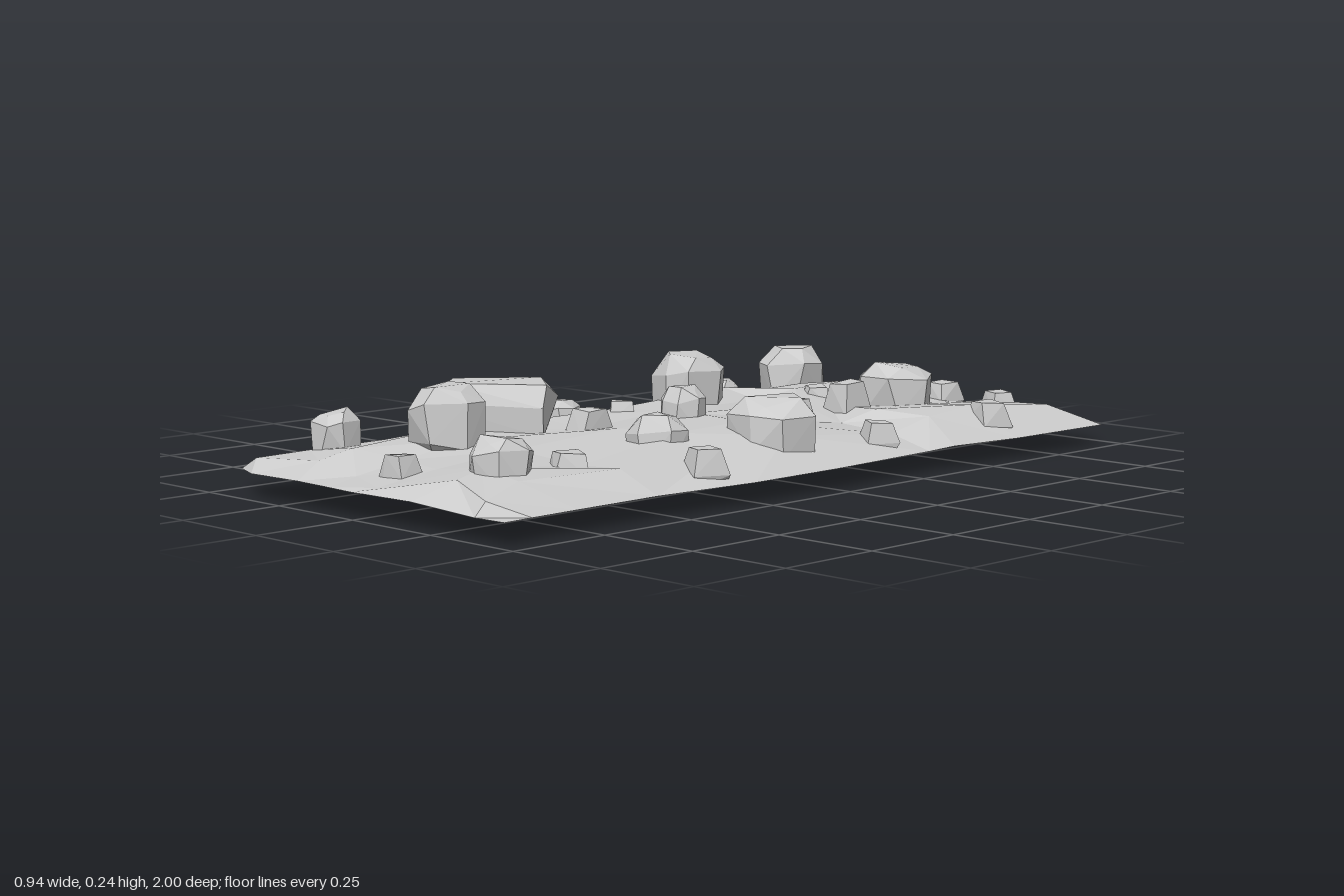
import * as THREE from 'three';
import { ConvexGeometry } from 'three/addons/geometries/ConvexGeometry.js';

const material = new THREE.MeshStandardMaterial({ color: 0xcccccc, flatShading: true });
const groundMaterial = new THREE.MeshStandardMaterial({ color: 0xcccccc, flatShading: true, side: THREE.DoubleSide });

function seeded(seed) {
  let s = seed * 7919 + 13;
  return () => (s = (s * 16807) % 2147483647) / 2147483647;
}

// Uneven sheet of earth: z, right edge x, then heights in hundredths across
function makeGround() {
  const xs = [-0.473, -0.4, -0.22, -0.1, 0.02, 0.2, 0.35];
  const backZ = [-0.96, -0.985, -1, -0.995, -0.99, -0.985, -0.98, -0.955];
  const frontZ = [0.93, 0.98, 0.99, 0.995, 1, 0.99, 0.985, 0.98];
  const rows = [
    [-1, 0.472, [5, 5.5, 6, 6, 6, 6, 6, 5]],
    [-0.88, 0.47, [5, 7, 9, 8.5, 7.5, 9, 10, 5]],
    [-0.65, 0.465, [5, 8.5, 12, 13, 9, 10.5, 12, 5]],
    [-0.42, 0.46, [5, 8, 12, 13.5, 11, 12, 11, 5.5]],
    [-0.34, 0.45, [5, 9, 13, 11, 12, 9, 8, 5]],
    [0, 0.468, [5, 8, 12, 12, 13, 13, 11, 5]],
    [0.28, 0.47, [5, 9, 12, 11, 12, 13, 9, 5]],
    [0.56, 0.445, [5, 8, 12, 11.5, 11, 9, 10, 5]],
    [0.8, 0.447, [5, 9, 11, 9, 9, 11, 10, 5]],
    [0.93, 0.45, [5, 8, 9, 7, 7, 10, 8, 5]],
    [1, 0.453, [5, 5.5, 6, 6, 6, 6, 5, 5]],
  ];
  const random = seeded(5);
  const pos = [], index = [], n = xs.length + 1, last = rows.length - 1;
  rows.forEach(([z, right, heights], j) => heights.forEach((h, i) => {
    const rim = i === 0 || i === n - 1;
    const dx = (random() - 0.5) * 0.06, dz = (random() - 0.5) * 0.07;
    const x = i === n - 1 ? right : xs[i] + (rim ? 0 : dx);
    // The rounded corners come from the end rows; keep the rim inside them
    const zz = j === 0 ? backZ[i] : j === last ? frontZ[i] : rim ? z * 0.97 : z + dz;
    pos.push(x, h / 100, zz);
  }));
  for (let j = 0; j < last; j++) for (let i = 0; i < n - 1; i++) {
    const a = j * n + i, b = a + 1, c = a + n, d = c + 1;
    if (random() > 0.5) index.push(a, c, b, b, c, d);
    else index.push(a, c, d, a, d, b);
  }
  const g = new THREE.BufferGeometry();
  g.setAttribute('position', new THREE.Float32BufferAttribute(pos, 3));
  g.setIndex(index);
  g.computeVertexNormals();
  const mesh = new THREE.Mesh(g, groundMaterial);
  mesh.name = 'ground';
  return mesh;
}

// Faceted stone: convex hull of rings [height fraction, radius fraction, sides, twist]
function makeStone(name, rings, [x, z, rx, rz, y0, y1, turn], jitter, seed) {
  const random = seeded(seed), points = [];
  const wobble = () => (random() - 0.5) * jitter;
  rings.forEach(([t, r, sides, twist]) => {
    for (let k = 0; k < sides; k++) {
      const a = ((k + twist + wobble()) / sides) * Math.PI * 2;
      const y = THREE.MathUtils.clamp(t + wobble() * 0.3, 0, 1);
      const grow = r * (1 + wobble() * 0.2);
      points.push(new THREE.Vector3(Math.cos(a) * rx * grow, y0 + (y1 - y0) * y, Math.sin(a) * rz * grow));
    }
  });
  const mesh = new THREE.Mesh(new ConvexGeometry(points), material);
  mesh.name = name;
  mesh.position.set(x, 0, z);
  mesh.rotation.y = turn;
  return mesh;
}

export function createModel() {
  const model = new THREE.Group();
  model.add(makeGround());

  // Boulders: x, z, half width, half depth, bottom, top, turn
  const boulders = [
    [-0.31, -0.69, 0.084, 0.096, 0.025, 0.2, 0.3],
    [0.1, -0.61, 0.1, 0.088, 0.03, 0.205, 0],
    [-0.4, -0.51, 0.053, 0.053, 0.04, 0.125, 0.5],
    [-0.2, -0.2, 0.087, 0.092, 0.045, 0.235, 0.2],
    [0.29, 0.02, 0.115, 0.108, 0.012, 0.197, -0.5],
    [-0.37, 0.07, 0.055, 0.056, 0.035, 0.135, 0.1],
    [0.02, 0.04, 0.055, 0.055, 0.06, 0.197, 0.8],
    [0.19, 0.29, 0.074, 0.074, 0.0, 0.175, 0.4],
    [-0.14, 0.62, 0.088, 0.092, 0.05, 0.239, 0.6],
    [0.22, 0.78, 0.074, 0.066, 0.04, 0.18, 0.2],
    [-0.34, 0.77, 0.057, 0.057, 0.035, 0.182, 0.6],
  ];
  const boulderRings = [[0.04, 0.44, 4, 0.3], [0.32, 0.97, 7, 0], [0.76, 0.98, 7, 0], [0.97, 0.62, 5, 0.4]];
  boulders.forEach((b, i) => model.add(makeStone('boulder', boulderRings, b, 0.45, i + 1)));

  // Long slab-like boulder
  const slabRings = [[0, 0.7, 4, 0.5], [0.3, 1.15, 4, 0.5], [0.72, 1.18, 4, 0.5], [0.97, 0.9, 4, 0.5]];
  model.add(makeStone('longBoulder', slabRings, [-0.225, 0.41, 0.165, 0.094, 0.05, 0.226, 0.72], 0.35, 31));

  // Small four-sided stones: x, z, radius, bottom, top, turn
  const pebbles = [
    [0, -0.915, 0.057, 0.05, 0.118, 0.75],
    [0.235, -0.845, 0.053, 0.055, 0.122, 0.4],
    [0.38, -0.625, 0.06, 0.05, 0.132, 0.4],
    [-0.045, -0.485, 0.048, 0.07, 0.145, 0.1],
    [0.115, -0.42, 0.062, 0.06, 0.175, 0.7],
    [-0.315, -0.29, 0.052, 0.055, 0.14, 0.6],
    [0.13, -0.205, 0.066, 0.055, 0.16, 0.7],
    [0.375, -0.235, 0.053, 0.05, 0.125, 0.3],
    [-0.185, 0.04, 0.048, 0.07, 0.145, 0.1],
    [-0.05, 0.27, 0.06, 0.06, 0.165, 0.7],
    [0.39, 0.345, 0.057, 0.045, 0.13, 0.4],
    [0.225, 0.59, 0.064, 0.05, 0.13, 0.2],
    [-0.01, 0.86, 0.05, 0.05, 0.125, 0.75],
  ];
  const pebbleRings = [[0, 0.76, 4, 0], [0.3, 1, 4, 0], [0.96, 0.66, 4, 0]];
  pebbles.forEach(([x, z, r, y0, y1, turn], i) =>
    model.add(makeStone('pebble', pebbleRings, [x, z, r, r, y0, y1, turn], 0.26, i + 40)));
  return model;
}
